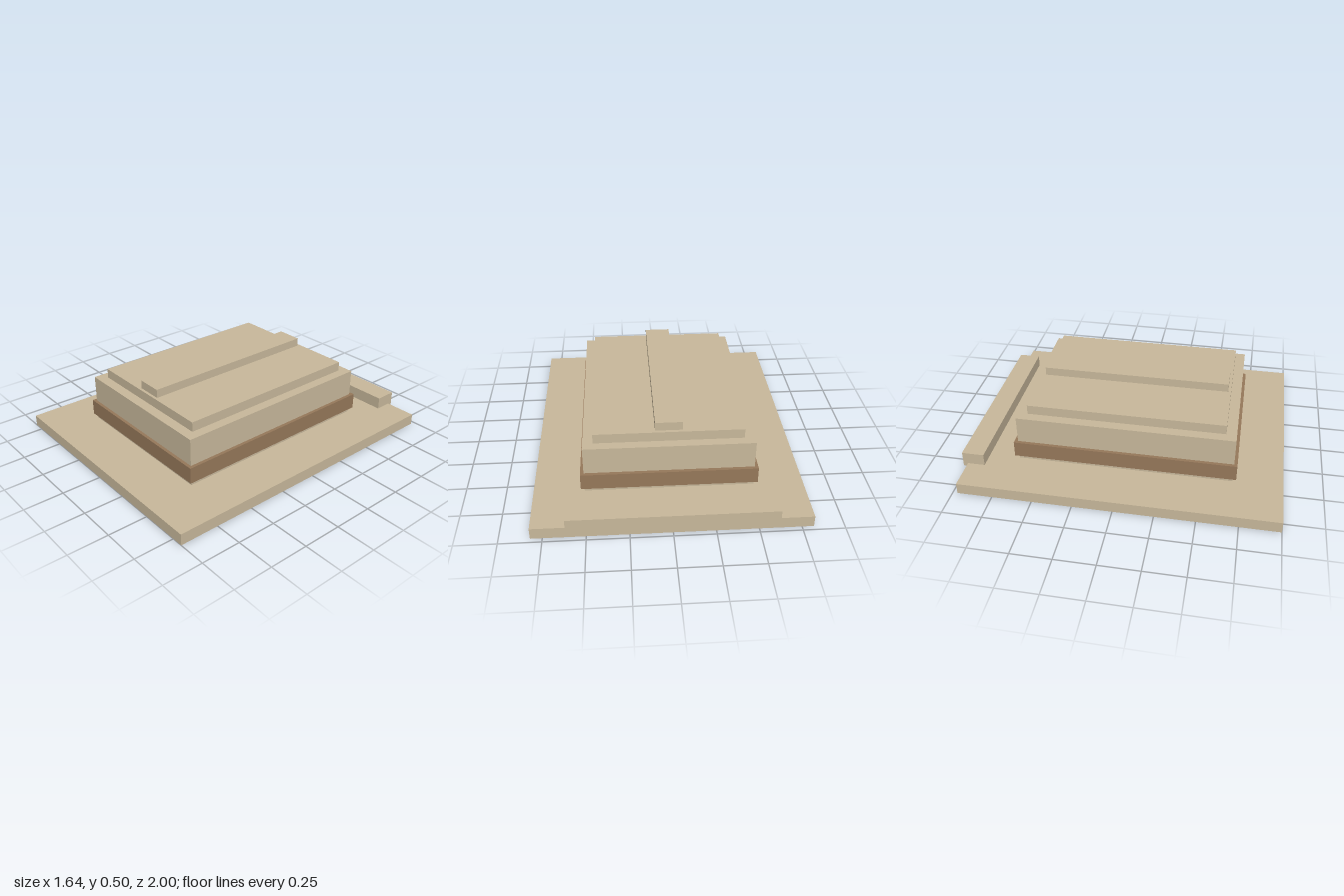
import * as THREE from 'three';

export function createModel() {
  const model = new THREE.Group();
  model.name = 'steppedBlock';

  const beige = new THREE.MeshStandardMaterial({ color: 0xc8b89b });
  beige.name = 'beige';
  const brown = new THREE.MeshStandardMaterial({ color: 0x96785a });
  brown.name = 'brown';

  // Box centred on x, given its half width and its y and z ranges
  function slab(name, material, halfX, y0, y1, z0, z1) {
    const mesh = new THREE.Mesh(new THREE.BoxGeometry(halfX * 2, y1 - y0, z1 - z0), material);
    mesh.position.set(0, (y0 + y1) / 2, (z0 + z1) / 2);
    mesh.name = name;
    model.add(mesh);
  }

  // Ground slab with a bar overhanging its back edge
  slab('base', beige, 0.82, 0, 0.072, -0.97, 1);
  slab('backBar', beige, 0.615, 0.05, 0.15, -1, -0.86);

  // Main block, floating just above the slab, wrapped by a brown band
  slab('body', beige, 0.512, 0.08, 0.385, -0.66, 0.692);
  slab('band', brown, 0.533, 0.11, 0.212, -0.682, 0.712);

  // Stepped top and its central ridge
  slab('cap', beige, 0.45, 0.385, 0.446, -0.602, 0.628);
  slab('ridge', beige, 0.082, 0.446, 0.5, -0.582, 0.61);

  return model;
}
